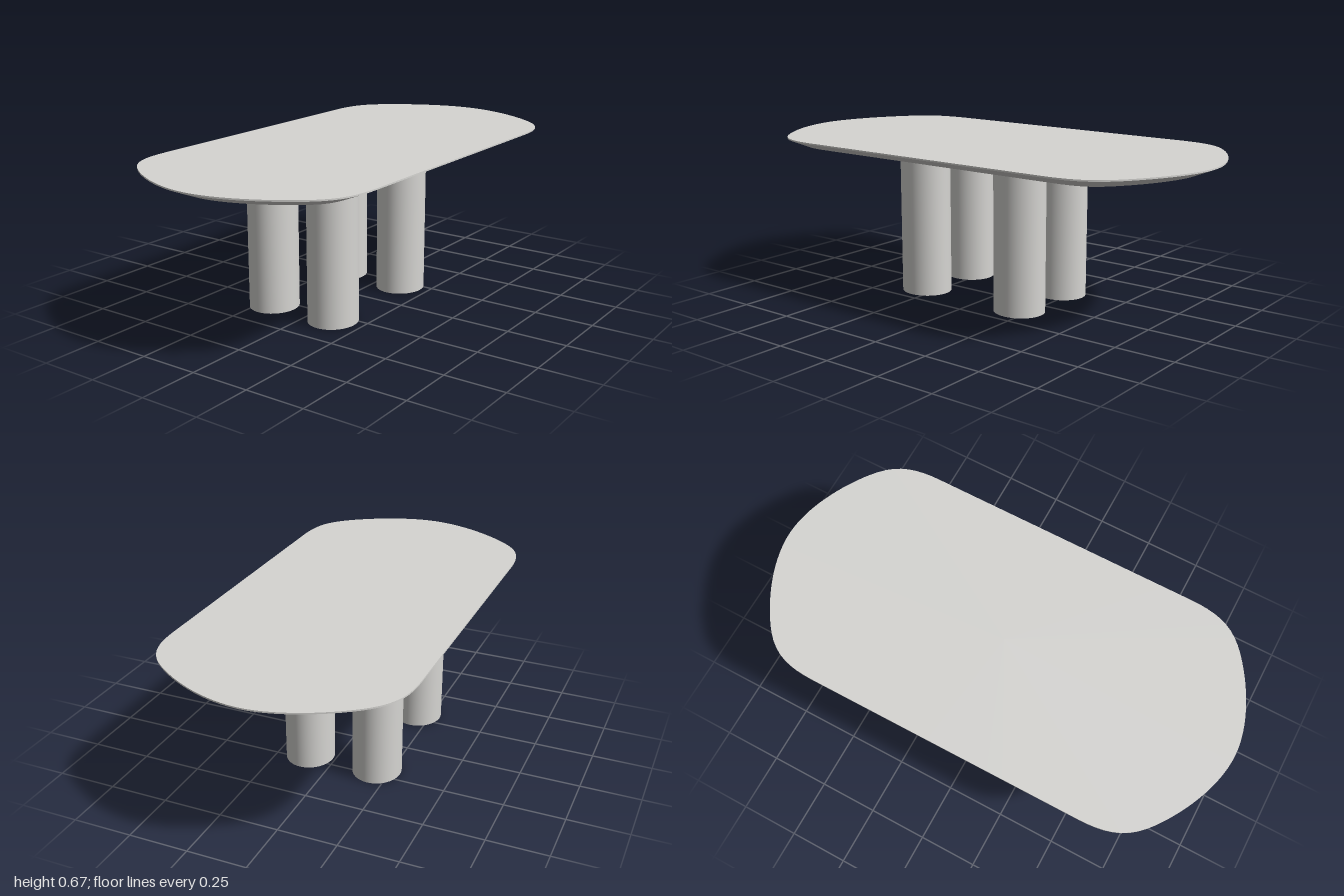
import * as THREE from 'three';

const LEG_HEIGHT = 0.63;
const TOP_HEIGHT = 0.67;

// Table outline: straight long sides, soft corners and bowed ends
function outlinePoints(count) {
  const s = new THREE.Shape();
  s.moveTo(1, 0);
  s.bezierCurveTo(1, 0.13, 0.93, 0.28, 0.85, 0.385);
  s.bezierCurveTo(0.785, 0.47, 0.72, 0.505, 0.58, 0.505);
  s.lineTo(-0.58, 0.505);
  s.bezierCurveTo(-0.72, 0.505, -0.785, 0.47, -0.85, 0.385);
  s.bezierCurveTo(-0.93, 0.28, -1, 0.13, -1, 0);
  s.bezierCurveTo(-1, -0.13, -0.93, -0.28, -0.85, -0.385);
  s.bezierCurveTo(-0.785, -0.47, -0.72, -0.505, -0.58, -0.505);
  s.lineTo(0.58, -0.505);
  s.bezierCurveTo(0.72, -0.505, 0.785, -0.47, 0.85, -0.385);
  s.bezierCurveTo(0.93, -0.28, 1, -0.13, 1, 0);
  return s.getSpacedPoints(count).slice(0, count);
}

// Move every outline point inward along its normal
function inset(points, amount) {
  const n = points.length;
  return points.map((p, i) => {
    const a = p.clone().sub(points[(i + n - 1) % n]).normalize();
    const b = points[(i + 1) % n].clone().sub(p).normalize();
    const t = a.add(b).normalize();
    return new THREE.Vector2(p.x - t.y * amount, p.y + t.x * amount);
  });
}

// Separate bands keep the edges sharp while each band is smooth around
function tabletopGeometry() {
  const rim = outlinePoints(160);
  const under = inset(rim, 0.083);
  const n = rim.length;
  const positions = [];
  const indices = [];
  const addRing = (points, y) => {
    const start = positions.length / 3;
    points.forEach((p) => positions.push(p.x, y, -p.y));
    return start;
  };
  const addBand = (lower, y0, upper, y1) => {
    const a = addRing(lower, y0);
    const b = addRing(upper, y1);
    for (let i = 0; i < n; i++) {
      const j = (i + 1) % n;
      indices.push(a + i, a + j, b + j, a + i, b + j, b + i);
    }
  };
  const addCap = (points, y, up) => {
    const a = addRing(points, y);
    const c = positions.length / 3;
    positions.push(0, y, 0);
    for (let i = 0; i < n; i++) {
      const j = (i + 1) % n;
      if (up) indices.push(c, a + i, a + j);
      else indices.push(c, a + j, a + i);
    }
  };
  addCap(under, LEG_HEIGHT, false);
  addBand(under, LEG_HEIGHT, rim, 0.664);
  addBand(rim, 0.664, rim, TOP_HEIGHT);
  addCap(rim, TOP_HEIGHT, true);

  const g = new THREE.BufferGeometry();
  g.setAttribute('position', new THREE.Float32BufferAttribute(positions, 3));
  g.setIndex(indices);
  g.computeVertexNormals();
  return g;
}

export function createModel() {
  const model = new THREE.Group();
  model.name = 'table';

  const paleStone = new THREE.MeshStandardMaterial({ color: 0xd6d5d2 });
  paleStone.name = 'pale stone';

  const tabletop = new THREE.Mesh(tabletopGeometry(), paleStone);
  tabletop.name = 'tabletop';
  model.add(tabletop);

  // Four slightly oval column legs in a two by two grid
  const legGeometry = new THREE.CylinderGeometry(1, 1, LEG_HEIGHT, 48);
  legGeometry.scale(0.11, 1, 0.102);
  for (const [side, x] of [['Right', -0.298], ['Left', 0.206]]) {
    for (const [end, z] of [['front', 0.113], ['back', -0.192]]) {
      const leg = new THREE.Mesh(legGeometry, paleStone);
      leg.name = `${end}${side}Leg`;
      leg.position.set(x, LEG_HEIGHT / 2, z);
      model.add(leg);
    }
  }
  return model;
}
